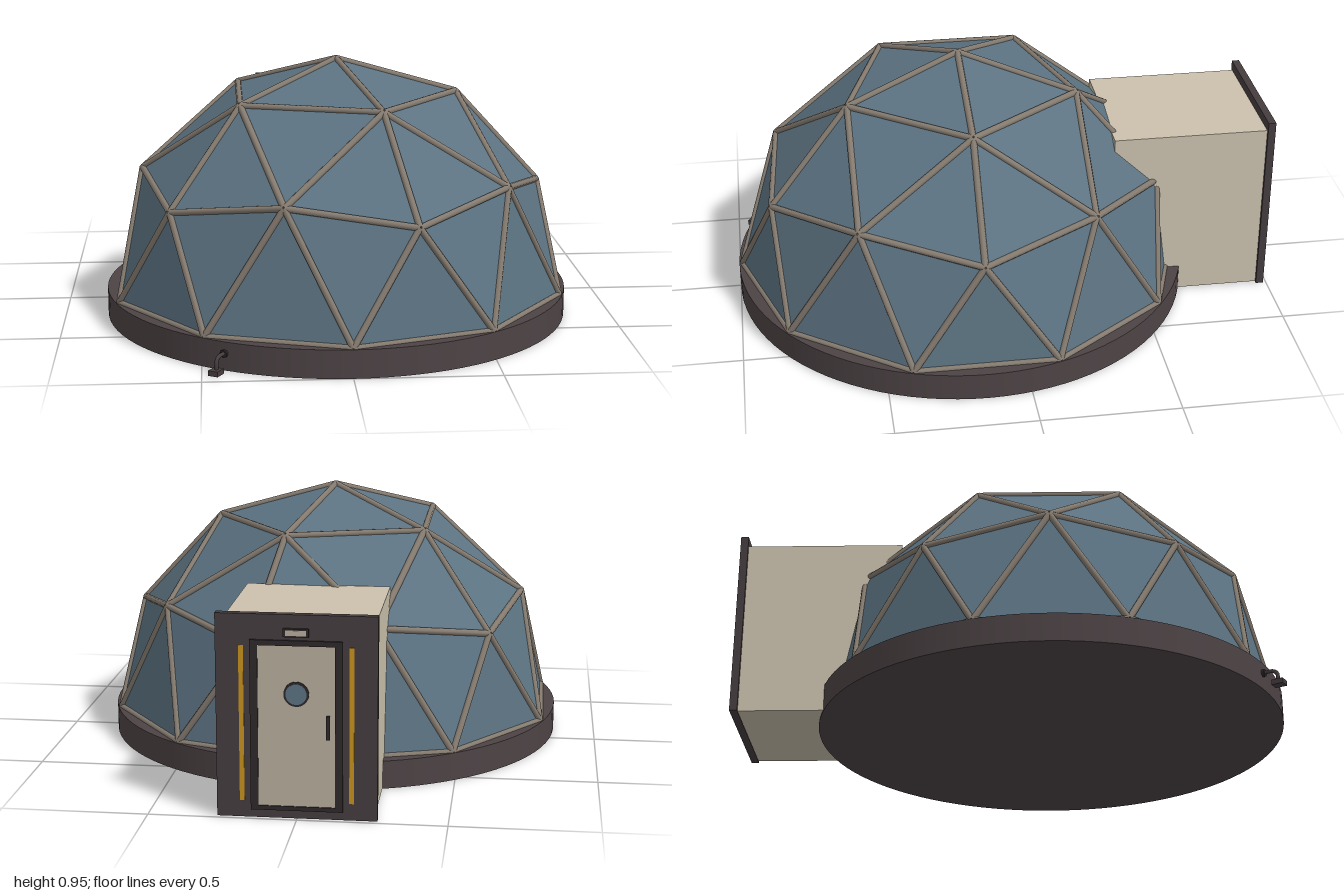
import * as THREE from 'three';

const paint = (name, color) => {
  const m = new THREE.MeshStandardMaterial({ color });
  m.name = name;
  return m;
};

export function createModel() {
  const mats = {
    base: paint('dark brown base', 0x4d4345),
    glass: paint('blue glass panel', 0x5c7382),
    strut: paint('taupe strut', 0x857b70),
    wall: paint('cream wall', 0xcbc1ad),
    frame: paint('dark frame', 0x463d3f),
    recess: paint('near black trim', 0x2e2829),
    door: paint('grey beige door', 0xb8ae9e),
    stripe: paint('amber stripe', 0xc8921f),
  };
  const model = new THREE.Group();
  const add = (name, geo, mat, x = 0, y = 0, z = 0, parent = model) => {
    const mesh = new THREE.Mesh(geo, mat);
    mesh.name = name;
    mesh.position.set(x, y, z);
    parent.add(mesh);
    return mesh;
  };
  // box given by its limits
  const box = (name, mat, x0, x1, y0, y1, z0, z1) =>
    add(name, new THREE.BoxGeometry(x1 - x0, y1 - y0, z1 - z0), mat, (x0 + x1) / 2, (y0 + y1) / 2, (z0 + z1) / 2);

  const cz = 0.153, baseR = 0.847, baseH = 0.1;

  // round foundation
  add('foundation', new THREE.CylinderGeometry(baseR, baseR, baseH, 96), mats.base, 0, baseH / 2, cz);

  // geodesic dome: rings of points on a hemisphere
  const R = 0.834;
  const dome = new THREE.Group();
  dome.name = 'dome';
  dome.position.set(0, baseH, cz);
  model.add(dome);
  const point = (lat, lon) => {
    const a = THREE.MathUtils.degToRad(lat), b = THREE.MathUtils.degToRad(lon);
    return new THREE.Vector3(Math.cos(a) * Math.cos(b), Math.sin(a), Math.cos(a) * Math.sin(b)).multiplyScalar(R);
  };
  const pts = [point(90, 0)];
  for (let k = 0; k < 5; k++) pts.push(point(58.28, 72 * k));
  for (let k = 0; k < 10; k++) pts.push(point(k % 2 ? 31.72 : 26.57, 36 * k));
  for (let k = 0; k < 10; k++) pts.push(point(0, 18 + 36 * k));
  const A = k => 1 + k % 5, B = k => 6 + k % 10, C = k => 16 + k % 10;
  const faces = [];
  for (let k = 0; k < 5; k++) {
    faces.push([0, A(k + 1), A(k)], [A(k), B(2 * k + 1), B(2 * k)],
      [A(k), A(k + 1), B(2 * k + 1)], [A(k + 1), B(2 * k + 2), B(2 * k + 1)]);
  }
  for (let k = 0; k < 10; k++) {
    faces.push([B(k), B(k + 1), C(k)], [B(k + 1), C(k + 1), C(k)]);
  }

  // flat glass panels
  const panels = new THREE.BufferGeometry().setFromPoints(faces.flat().map(i => pts[i]));
  panels.computeVertexNormals();
  mats.glass.side = THREE.DoubleSide;
  add('glassPanels', panels, mats.glass, 0, 0, 0, dome);

  // one strut per unique edge
  const rod = (name, a, b, r, mat, parent) => {
    const dir = b.clone().sub(a);
    const mid = a.clone().add(b).multiplyScalar(0.5);
    const m = add(name, new THREE.CylinderGeometry(r, r, dir.length(), 8), mat, mid.x, mid.y, mid.z, parent);
    m.quaternion.setFromUnitVectors(new THREE.Vector3(0, 1, 0), dir.normalize());
    return m;
  };
  const seen = new Set();
  for (const f of faces) {
    for (let i = 0; i < 3; i++) {
      const a = Math.min(f[i], f[(i + 1) % 3]), b = Math.max(f[i], f[(i + 1) % 3]);
      if (seen.has(a * 100 + b)) continue;
      seen.add(a * 100 + b);
      rod('strut', pts[a], pts[b], 0.012, mats.strut, dome);
    }
  }

  // entrance tunnel and end frame
  box('entranceTunnel', mats.wall, -0.255, 0.255, 0.004, 0.66, -0.965, -0.39);
  box('endFrame', mats.frame, -0.267, 0.267, 0.002, 0.695, -0.988, -0.96);

  // door with raised surround
  for (const s of [-1, 1]) {
    box('doorJamb', mats.recess, s * 0.14 - 0.013, s * 0.14 + 0.013, 0.03, 0.61, -0.995, -0.986);
    box('amberStripe', mats.stripe, s * 0.182 - 0.008, s * 0.182 + 0.008, 0.06, 0.59, -0.991, -0.987);
  }
  box('doorHead', mats.recess, -0.127, 0.127, 0.592, 0.61, -0.995, -0.986);
  box('doorSill', mats.recess, -0.127, 0.127, 0.03, 0.045, -0.995, -0.986);
  box('door', mats.door, -0.127, 0.127, 0.045, 0.592, -0.991, -0.986);
  box('doorHandle', mats.recess, -0.111, -0.099, 0.28, 0.36, -1, -0.99);

  // porthole
  const ring = add('portholeRim', new THREE.CylinderGeometry(0.042, 0.042, 0.005, 32), mats.recess, 0, 0.43, -0.992);
  const pane = add('portholeGlass', new THREE.CylinderGeometry(0.035, 0.035, 0.005, 32), mats.glass, 0, 0.43, -0.994);
  ring.rotation.x = pane.rotation.x = Math.PI / 2;

  // lamp above the door
  box('lampHousing', mats.recess, -0.042, 0.042, 0.622, 0.65, -0.998, -0.986);
  box('lampFace', mats.door, -0.034, 0.034, 0.627, 0.645, -1, -0.997);

  // small outlet pipe on the foundation
  const outlet = new THREE.Group();
  outlet.name = 'outlet';
  outlet.position.set(0, 0, cz);
  outlet.rotation.y = -Math.PI * 2 / 3;
  model.add(outlet);
  const v = (x, y) => new THREE.Vector3(x, y, 0);
  rod('outletFlange', v(0.84, 0.06), v(0.856, 0.06), 0.014, mats.recess, outlet);
  const path = new THREE.CatmullRomCurve3([v(0.84, 0.06), v(0.885, 0.06), v(0.9, 0.048), v(0.902, 0.015)]);
  add('outletPipe', new THREE.TubeGeometry(path, 16, 0.007, 8), mats.frame, 0, 0, 0, outlet);
  add('outletFoot', new THREE.BoxGeometry(0.042, 0.018, 0.036), mats.frame, 0.905, 0.012, 0, outlet);

  return model;
}
